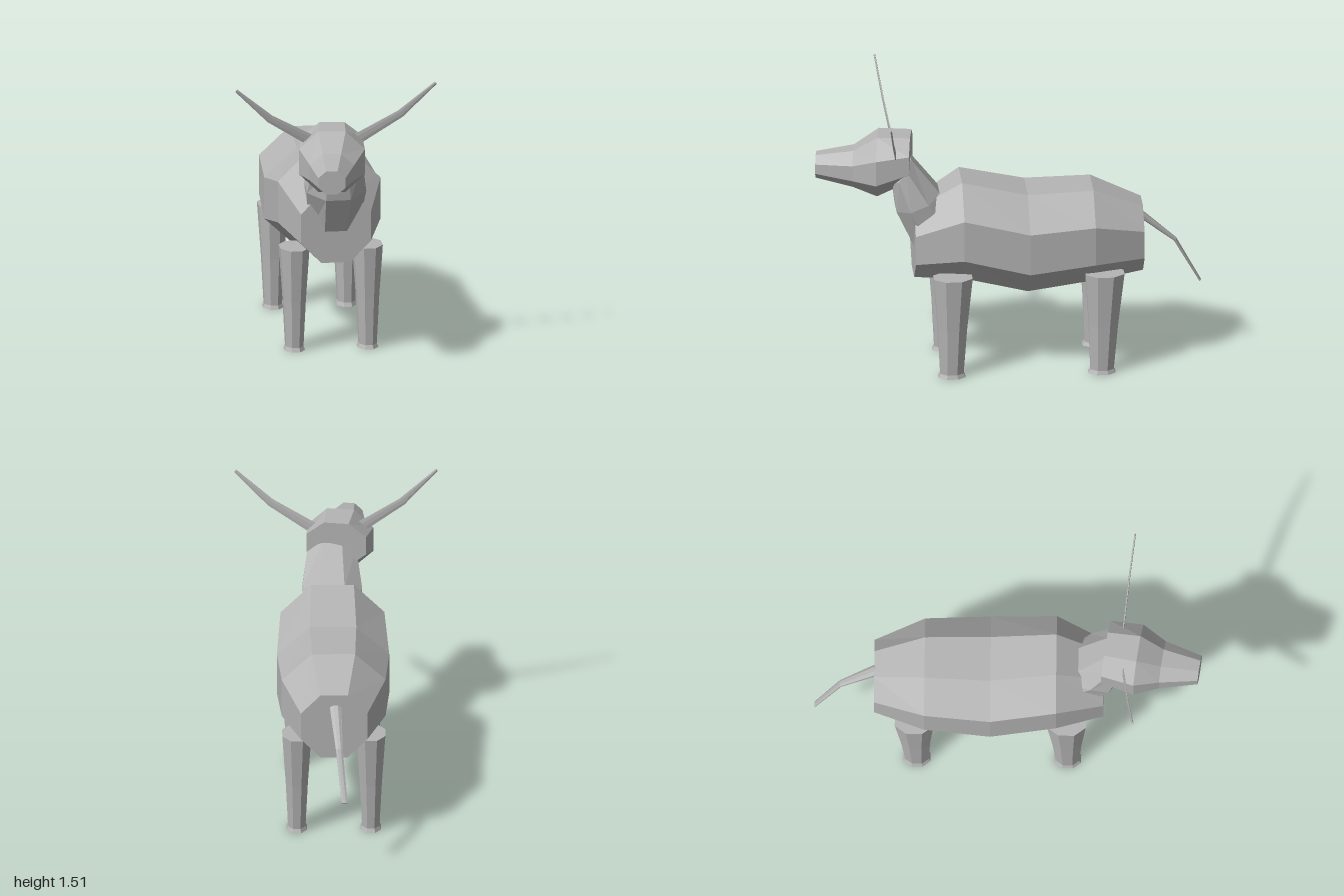
import * as THREE from 'three';

const SIDES = 8;
const V = (x, y, z) => new THREE.Vector3(x, y, z);

// Skin a closed shape over octagonal rings: [centre, half-axis u, half-axis v], with u x v along the path
function loft(rings) {
  const k = 1 / Math.cos(Math.PI / SIDES);
  const pts = rings.map(([c, u, v]) => Array.from({ length: SIDES }, (_, i) => {
    const a = (i + 0.5) * 2 * Math.PI / SIDES;
    return c.clone().addScaledVector(u, Math.cos(a) * k).addScaledVector(v, Math.sin(a) * k);
  }));
  const out = [];
  const tri = (...p) => p.forEach(q => out.push(q.x, q.y, q.z));
  const last = rings.length - 1;
  for (let j = 0; j < SIDES; j++) {
    const n = (j + 1) % SIDES;
    for (let i = 0; i < last; i++) {
      const a = pts[i][j], b = pts[i][n], c = pts[i + 1][n], d = pts[i + 1][j];
      tri(a, b, c);
      tri(a, c, d);
    }
    tri(rings[0][0], pts[0][n], pts[0][j]);
    tri(rings[last][0], pts[last][j], pts[last][n]);
  }
  const g = new THREE.BufferGeometry();
  g.setAttribute('position', new THREE.Float32BufferAttribute(out, 3));
  g.computeVertexNormals();
  return g;
}

export function createModel() {
  const model = new THREE.Group();
  model.name = 'longHornedCow';
  const hide = new THREE.MeshStandardMaterial({ color: 0xb4b4b4, flatShading: true });
  hide.name = 'grey hide';
  const add = (name, rings) => {
    const m = new THREE.Mesh(loft(rings), hide);
    m.name = name;
    model.add(m);
    return m;
  };
  const MID = 0.022;

  // Barrel body, rump to chest: z, bottom, top, half width
  add('body', [
    [-0.69, 0.51, 0.865, 0.172],
    [-0.43, 0.475, 0.975, 0.268],
    [-0.09, 0.43, 0.965, 0.29],
    [0.25, 0.51, 1.04, 0.268],
    [0.495, 0.51, 0.885, 0.182],
  ].map(([z, lo, hi, w]) => [V(MID, (lo + hi) / 2, z), V(w, 0, 0), V(0, (hi - lo) / 2, 0)]));

  // Neck, from inside the chest up to the head: throat z, y, nape z, y, half width
  add('neck', [
    [0.44, 0.56, 0.22, 0.82, 0.13],
    [0.585, 0.87, 0.36, 0.965, 0.155],
    [0.605, 1.02, 0.51, 1.155, 0.125],
  ].map(([z0, y0, z1, y1, w]) => [
    V(MID, (y0 + y1) / 2, (z0 + z1) / 2), V(w, 0, 0), V(0, (y1 - y0) / 2, (z1 - z0) / 2),
  ]));

  // Head, turned slightly to its right: distance forward, bottom, top, half width
  const head = add('head', [
    [0, 1.03, 1.27, 0.155],
    [0.17, 0.945, 1.27, 0.17],
    [0.295, 0.985, 1.185, 0.115],
    [0.49, 1.025, 1.15, 0.07],
  ].map(([z, lo, hi, w]) => [V(0, (lo + hi) / 2, z), V(w, 0, 0), V(0, (hi - lo) / 2, 0)]));
  head.position.set(0, 0, 0.505);
  head.rotation.y = -0.144;

  // Long, flat horns: x, y, z, half width
  for (const [side, s] of [['left', 1], ['right', -1]]) {
    add(side + 'Horn', [
      [0.125, 1.205, 0.595, 0.03],
      [0.34, 1.336, 0.622, 0.021],
      [0.52, 1.503, 0.65, 0.008],
    ].map(([x, y, z, w]) => [
      V(s * x, y, z), V(0, 0, 0.004), V(0.61 * w, -0.79 * s * w, 0),
    ]));
  }

  // Tapered legs with small flared hooves: y, half width, half depth
  for (const [end, zTop, zFoot] of [['front', 0.304, 0.31], ['hind', -0.482, -0.467]]) {
    for (const [side, s] of [['Left', 1], ['Right', -1]]) {
      add(end + side + 'Leg', [
        [0, 0.053, 0.07],
        [0.02, 0.045, 0.06],
        [0.27, 0.057, 0.075],
        [0.55, 0.075, 0.1],
      ].map(([y, w, d]) => [
        V(MID + s * 0.191, y, THREE.MathUtils.lerp(zFoot, zTop, y / 0.55)), V(0, 0, d), V(w, 0, 0),
      ]));
    }
  }

  // Tail, hanging back and down: x, y, z, half width, half thickness
  add('tail', [
    [0.015, 0.795, -0.68, 0.03, 0.018],
    [-0.003, 0.638, -0.863, 0.018, 0.009],
    [-0.03, 0.395, -0.995, 0.015, 0.006],
  ].map(([x, y, z, w, t]) => [V(x, y, z), V(-w, 0, 0), V(0, 0.7 * t, -0.7 * t)]));

  return model;
}
